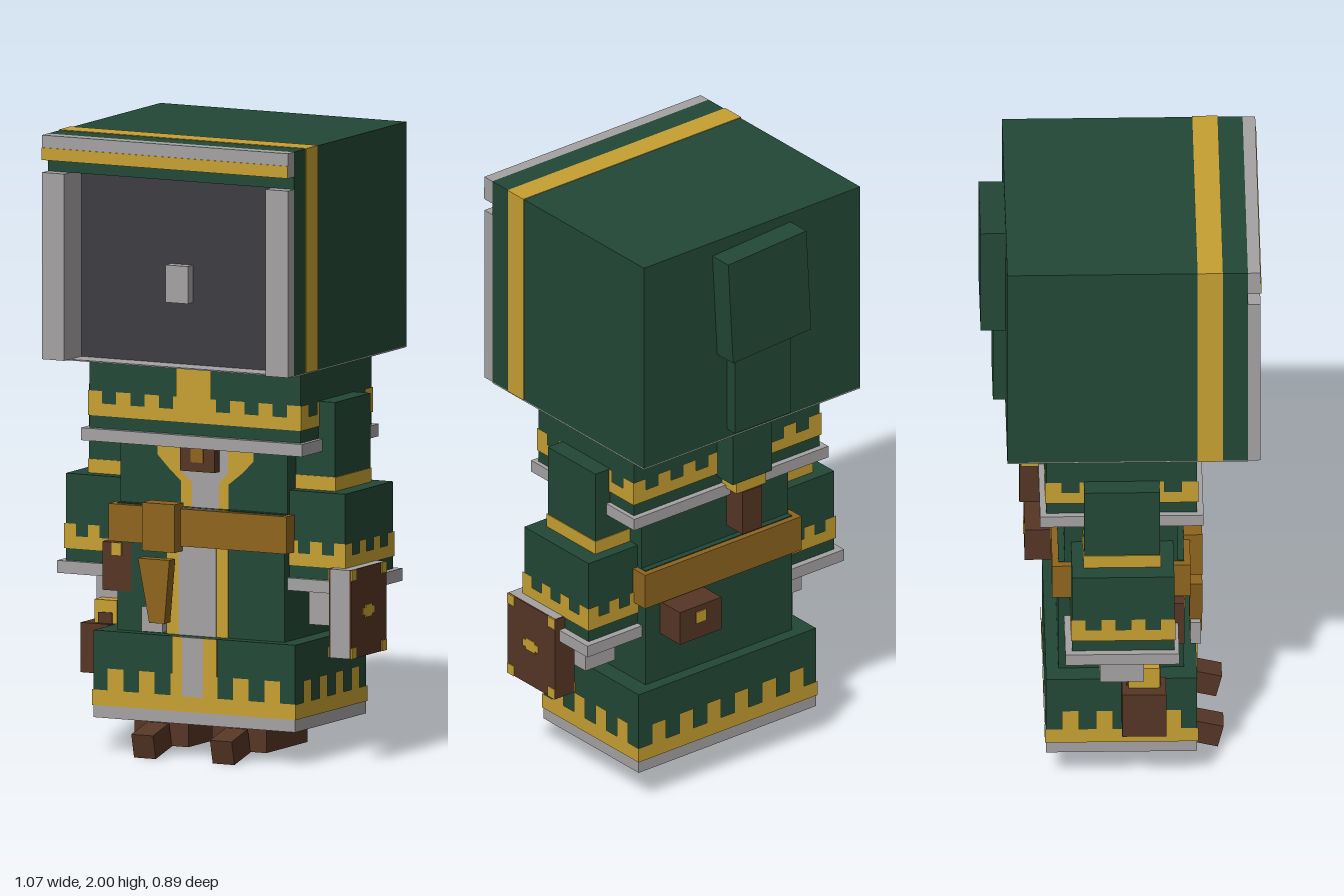
import * as THREE from 'three';

const paint = (name, color) => {
  const m = new THREE.MeshStandardMaterial({ color });
  m.name = name;
  return m;
};

export function createModel() {
  const green = paint('forest green cloth', 0x234836);
  const gold = paint('gold trim', 0xc7a133);
  const grey = paint('pale grey cloth', 0xa6a3a4);
  const dark = paint('shadow face', 0x3e3c43);
  const brown = paint('dark leather', 0x563625);
  const tan = paint('tan leather', 0x8f651f);
  const model = new THREE.Group();
  const CX = -0.0125; // mirror plane of the figure
  const E = 0.004; // offset of painted plates

  const add = (name, geo, mat, parent = model) => {
    const m = new THREE.Mesh(geo, mat);
    m.name = name;
    parent.add(m);
    return m;
  };
  // box given by its limits
  const box = (name, mat, [x0, x1], [y0, y1], [z0, z1], parent = model) => {
    const m = add(name, new THREE.BoxGeometry(x1 - x0, y1 - y0, z1 - z0), mat, parent);
    m.position.set((x0 + x1) / 2, (y0 + y1) / 2, (z0 + z1) / 2);
    return m;
  };
  const flip = ([a, b]) => [2 * CX - b, 2 * CX - a];
  // box repeated on both sides of the mirror plane
  const pair = (name, mat, xs, ys, zs) => {
    box(name + 'Left', mat, xs, ys, zs);
    box(name + 'Right', mat, flip(xs), ys, zs);
  };
  // flat outline painted on a front-facing plane
  const patch = (name, mat, pts, z) => {
    const s = new THREE.Shape(pts.map(([x, y]) => new THREE.Vector2(x, y)));
    add(name, new THREE.ShapeGeometry(s), mat).position.z = z;
  };
  // crenellated strip of width w: band y0..y1, n teeth up to y2
  const crenels = (w, y0, y1, y2, n, toothEnds) => {
    const s = new THREE.Shape();
    const steps = toothEnds ? 2 * n - 1 : 2 * n + 1;
    s.moveTo(w / 2, y0);
    for (let i = 0; i < steps; i++) {
      const y = (i % 2 === 0) === toothEnds ? y2 : y1;
      s.lineTo(w / 2 - (w * i) / steps, y);
      s.lineTo(w / 2 - (w * (i + 1)) / steps, y);
    }
    s.lineTo(-w / 2, y0);
    return new THREE.ShapeGeometry(s);
  };
  // crenellated trim around all four sides of a box
  const hem = (name, [x0, x1], [z0, z1], ys, nx, nz, toothEnds) => {
    const g = new THREE.Group();
    g.name = name;
    g.position.set((x0 + x1) / 2, 0, (z0 + z1) / 2);
    const w = x1 - x0, d = z1 - z0;
    for (let k = 0; k < 4; k++) {
      const side = k % 2;
      const m = add(name + 'Side', crenels((side ? d : w) + 2 * E, ...ys, side ? nz : nx, toothEnds), gold, g);
      const r = (side ? w : d) / 2 + E;
      m.rotation.y = (k * Math.PI) / 2;
      m.position.set(Math.sin(m.rotation.y) * r, 0, Math.cos(m.rotation.y) * r);
    }
    model.add(g);
  };

  // hood with a recessed face
  const HX = [-0.455, 0.43];
  box('hood', green, HX, [1.28, 2], [-0.365, 0.32]);
  box('hoodBrow', green, HX, [1.88, 2], [0.32, 0.4]);
  pair('hoodCheek', green, [0.354, 0.43], [1.28, 1.88], [0.32, 0.4]);
  pair('hoodLining', grey, [0.35, 0.354], [1.28, 1.88], [0.32, 0.4]);
  pair('hoodRim', grey, [0.35, 0.43], [1.28, 1.88], [0.4, 0.44]);
  box('hoodRimTop', grey, HX, [1.92, 2], [0.4, 0.44]);
  box('browStripe', gold, HX, [1.921, 1.96], [0.44, 0.443]);
  box('hoodUnderside', grey, HX, [1.276, 1.28], [-0.365, 0.4]);
  box('face', dark, [-0.375, 0.35], [1.28, 1.88], [0.32, 0.324]);
  box('nose', grey, [-0.053, 0.028], [1.48, 1.6], [0.32, 0.36]);
  box('hoodStripeTop', gold, HX, [2, 2.002], [0.24, 0.32]);
  pair('hoodStripe', gold, [0.43, 0.433], [1.28, 2.002], [0.24, 0.32]);

  // hood tail down the back
  box('hoodTailUpper', green, [-0.18, 0.14], [1.6, 1.96], [-0.445, -0.365]).rotation.z = -0.055;
  box('hoodTailLower', green, [-0.14, 0.09], [1.31, 1.61], [-0.405, -0.365]);
  box('hoodTailEnd', green, [-0.13, 0.03], [1.07, 1.28], [-0.32, -0.24]);
  box('tasselKnot', gold, [-0.11, 0.01], [1.03, 1.07], [-0.315, -0.24]);
  box('tassel', brown, [-0.09, -0.01], [0.88, 1.03], [-0.32, -0.24]);

  // shoulder cape
  const CAPE = [-0.39, 0.37];
  box('cape', green, CAPE, [1.04, 1.28], [-0.24, 0.24]);
  hem('capeHem', CAPE, [-0.24, 0.24], [1.08, 1.12, 1.16], 8, 5, true);
  box('capeEdge', grey, [-0.41, 0.385], [1, 1.04], [-0.26, 0.26]);
  patch('capeClasp', gold, [[-0.04, 1.12], [0.02, 1.12], [0.05, 1.16], [0.05, 1.28], [-0.075, 1.28], [-0.075, 1.16]], 0.246);

  // torso and robe front
  box('chest', green, [-0.31, 0.29], [0.8, 1], [-0.18, 0.18]);
  box('robe', green, [-0.31, 0.29], [0.39, 0.8], [-0.2, 0.2]);
  patch('lapels', gold, [[-0.09, 0.8], [0.08, 0.8], [0.08, 0.88], [0.13, 0.92], [0.17, 0.96], [0.17, 1],
    [-0.175, 1], [-0.175, 0.96], [-0.135, 0.92], [-0.09, 0.88]], 0.183);
  patch('shirt', grey, [[-0.05, 0.8], [0.047, 0.8], [0.047, 0.88], [0.08, 0.92], [0.08, 1], [-0.095, 1], [-0.095, 0.92], [-0.05, 0.88]], 0.186);
  box('robeTrim', gold, [-0.13, 0.089], [0.39, 0.8], [0.2, 0.203]);
  box('robePanel', grey, [-0.087, 0.047], [0.39, 0.8], [0.2, 0.206]);
  box('neckClasp', brown, [-0.075, 0.05], [0.92, 1], [0.18, 0.22]);
  box('neckClaspStrap', tan, [-0.035, 0.01], [0.95, 1], [0.22, 0.223]);

  // skirt
  const SKIRT = [-0.375, 0.35];
  box('skirt', green, SKIRT, [0.15, 0.39], [-0.24, 0.24]);
  box('skirtEdge', grey, SKIRT, [0.11, 0.15], [-0.24, 0.24]);
  hem('skirtHem', SKIRT, [-0.24, 0.24], [0.15, 0.2, 0.27], 6, 4, false);
  box('skirtTrim', gold, [-0.09, 0.07], [0.19, 0.39], [0.24, 0.246]);
  box('skirtPanel', grey, [-0.053, 0.022], [0.2, 0.39], [0.24, 0.248]);

  // arms with wide sleeves
  const SLEEVE = [0.285, 0.49];
  pair('upperArm', green, [0.27, 0.43], [0.87, 1.16], [-0.12, 0.12]);
  pair('armBand', gold, [0.267, 0.433], [0.875, 0.92], [-0.123, 0.123]);
  pair('sleeve', green, SLEEVE, [0.595, 0.875], [-0.16, 0.165]);
  hem('sleeveHemLeft', SLEEVE, [-0.16, 0.165], [0.635, 0.675, 0.715], 3, 4, true);
  hem('sleeveHemRight', flip(SLEEVE), [-0.16, 0.165], [0.635, 0.675, 0.715], 3, 4, true);
  pair('cuff', grey, [0.29, 0.513], [0.555, 0.595], [-0.182, 0.18]);
  pair('hand', grey, [0.31, 0.43], [0.433, 0.555], [-0.07, 0.07]);

  // belt with buckle and hanging strap
  box('belt', tan, [-0.333, 0.308], [0.677, 0.797], [-0.22, 0.22]);
  box('buckle', tan, [-0.19, -0.073], [0.66, 0.815], [0.2, 0.26]);
  const strap = new THREE.Shape([[-0.205, 0.635], [-0.165, 0.43], [-0.11, 0.43], [-0.092, 0.635]].map((p) => new THREE.Vector2(...p)));
  add('hangingStrap', new THREE.ExtrudeGeometry(strap, { depth: 0.04, bevelEnabled: false }), tan).position.z = 0.22;
  box('strapTip', grey, [-0.195, -0.12], [0.4, 0.48], [0.222, 0.255]);

  // belt bags
  box('hipBag', brown, [-0.365, -0.26], [0.515, 0.67], [0.06, 0.2]);
  box('hipBagClasp', gold, [-0.33, -0.295], [0.63, 0.67], [0.2, 0.204]);
  box('backBag', brown, [0.06, 0.23], [0.555, 0.67], [-0.3, -0.2]);
  box('backBagClasp', gold, [0.125, 0.165], [0.61, 0.65], [-0.304, -0.3]);

  // pouch hanging from the right hand
  box('pouch', brown, [-0.475, -0.375], [0.235, 0.395], [0, 0.14]);
  box('pouchNeck', gold, [-0.435, -0.355], [0.395, 0.47], [0.02, 0.12]);
  box('pouchTie', brown, [-0.42, -0.37], [0.395, 0.43], [0.015, 0.125]);

  // book in the left hand
  const BY = [0.352, 0.637], BZ = [-0.04, 0.2];
  box('bookPages', grey, [0.456, 0.524], BY, [-0.034, 0.2]);
  box('bookSpine', brown, [0.45, 0.53], BY, [-0.04, -0.034]);
  for (const [x0, x1, out] of [[0.45, 0.456, 0.449], [0.524, 0.53, 0.531]]) {
    box('bookCover', brown, [x0, x1], BY, BZ);
    const plate = [out - 0.002, out + 0.002];
    for (const y of [0.352, 0.602]) for (const z of [-0.04, 0.165])
      box('bookCorner', gold, plate, [y, y + 0.035], [z, z + 0.035]);
    box('bookEmblem', gold, plate, [0.475, 0.515], [0.06, 0.105]);
    box('bookEmblemWide', gold, plate, [0.483, 0.507], [0.043, 0.122]);
  }

  // shoes with down-turned toes
  pair('shoe', brown, [0.03, 0.225], [0.03, 0.11], [-0.08, 0.2]);
  pair('sole', grey, [0.068, 0.187], [0.027, 0.03], [-0.04, 0.16]);
  for (const xs of [[0.09, 0.168], flip([0.09, 0.168])])
    box('toe', brown, xs, [0.014, 0.093], [0.207, 0.32]).rotation.x = 0.24;

  return model;
}
